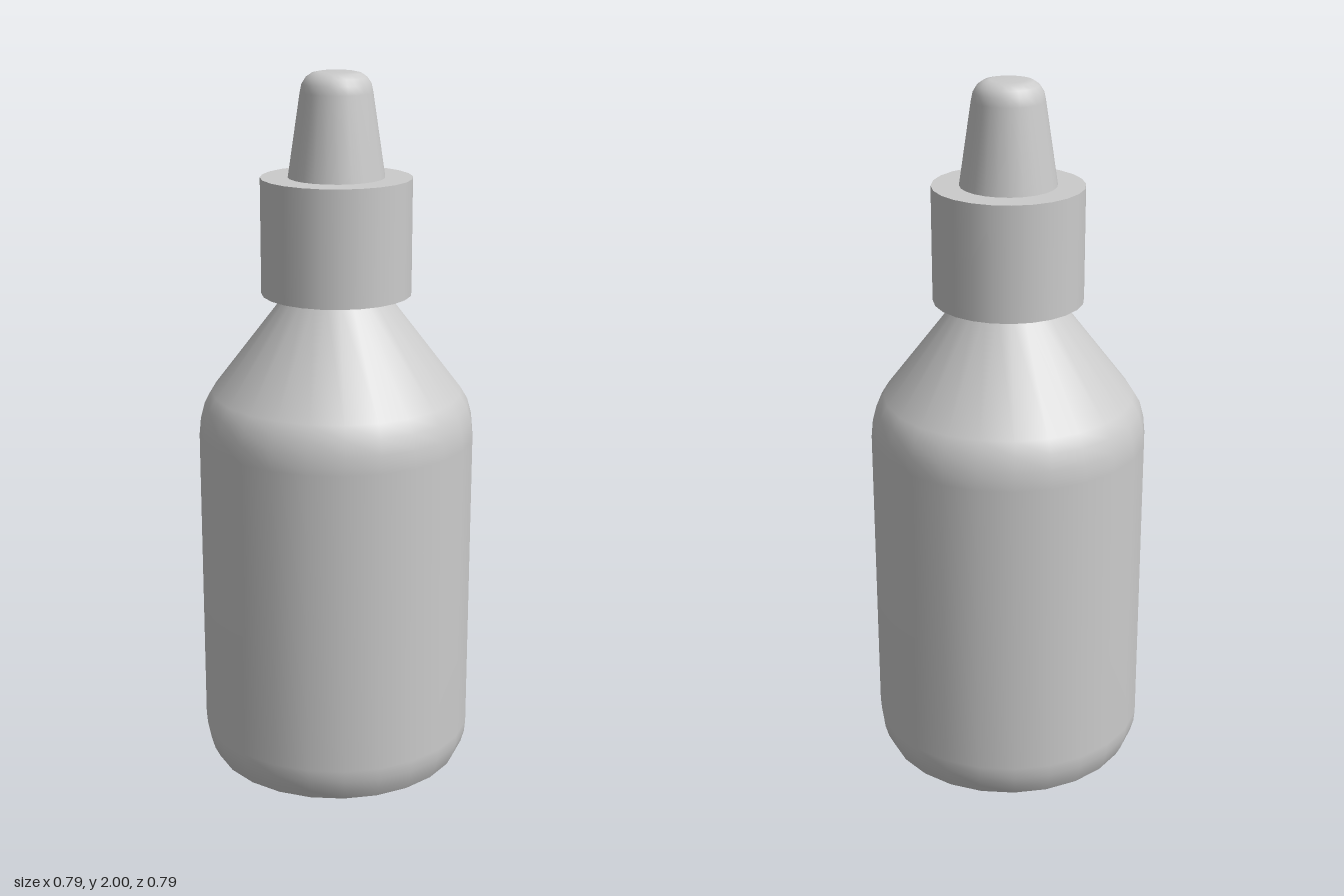
import * as THREE from 'three';

const SIDES = 24;

export function createModel() {
  const group = new THREE.Group();
  const material = new THREE.MeshStandardMaterial({ color: 0xcccccc });

  const add = (name, geometry, y = 0) => {
    const mesh = new THREE.Mesh(geometry, material);
    mesh.name = name;
    mesh.position.y = y;
    group.add(mesh);
    return mesh;
  };
  // Smooth turned surface from [radius, height] pairs, listed bottom to top
  const turn = (points) =>
    new THREE.LatheGeometry(points.map(([r, y]) => new THREE.Vector2(r, y)), SIDES);

  // Bottle wall: rounded foot, straight side, curved shoulder, conical neck
  add('bottleBody', turn([
    [0.365, 0], [0.38, 0.03], [0.39, 0.065], [0.393, 0.1],
    [0.393, 0.98], [0.388, 1.03], [0.376, 1.075], [0.355, 1.11],
    [0.137, 1.395], [0.135, 1.42],
  ]));

  // Flat underside, kept separate for a sharp rim
  add('bottleBase', new THREE.CircleGeometry(0.365, SIDES).rotateX(Math.PI / 2));

  // Plain collar cap around the neck
  add('collar', new THREE.CylinderGeometry(0.211, 0.211, 0.325, SIDES), 1.5525);

  // Tapered nozzle with a rounded tip
  add('nozzle', turn([
    [0.135, 1.71], [0.1, 1.945], [0.095, 1.968], [0.084, 1.985],
    [0.068, 1.996], [0.05, 2], [0, 2],
  ]));

  return group;
}
